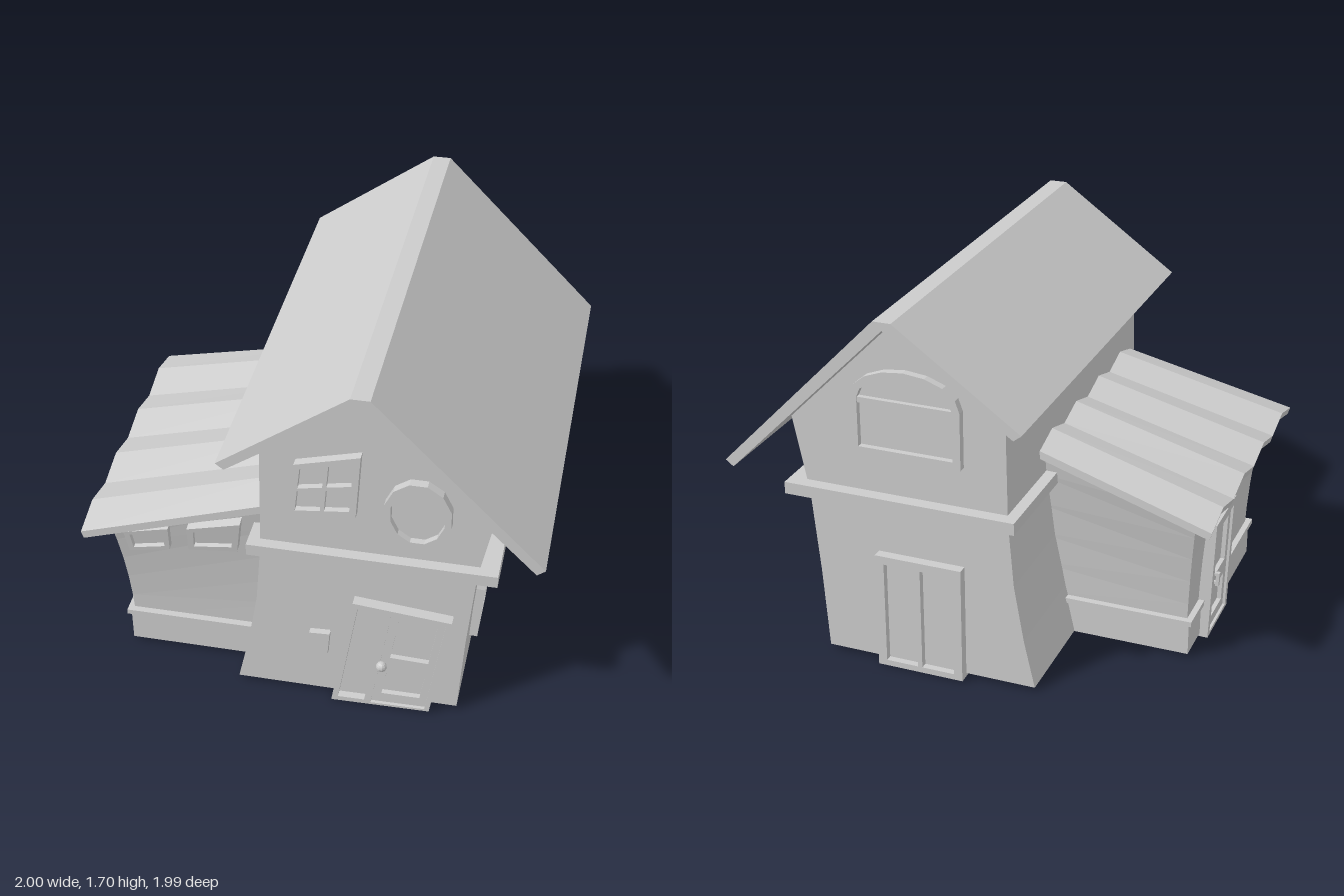
import * as THREE from 'three';

const mat = new THREE.MeshStandardMaterial({ color: 0xcccccc, flatShading: true });

function add(parent, name, geo) {
  const m = new THREE.Mesh(geo, mat);
  m.name = name;
  parent.add(m);
  return m;
}

function block(parent, name, x0, x1, y0, y1, z0, z1) {
  const m = add(parent, name, new THREE.BoxGeometry(x1 - x0, y1 - y0, z1 - z0));
  m.position.set((x0 + x1) / 2, (y0 + y1) / 2, (z0 + z1) / 2);
  return m;
}

// Flat outline with optional holes, extruded from z0 to z1
function slab(parent, name, pts, z0, z1, holes = []) {
  const v = (list) => list.map((p) => new THREE.Vector2(p[0], p[1]));
  const shape = new THREE.Shape(v(pts));
  holes.forEach((h) => shape.holes.push(new THREE.Path(v(h))));
  const geo = new THREE.ExtrudeGeometry(shape, { depth: z1 - z0, bevelEnabled: false });
  geo.translate(0, 0, z0);
  return add(parent, name, geo);
}

// Part of a slanted quad (bottom left, bottom right, top right, top left)
function sub(q, u0, u1, v0, v1) {
  const at = (u, v) => [0, 1].map((i) =>
    (q[0][i] * (1 - u) + q[1][i] * u) * (1 - v) + (q[3][i] * (1 - u) + q[2][i] * u) * v);
  return [at(u0, v0), at(u1, v0), at(u1, v1), at(u0, v1)];
}

const rect = (x0, x1, y0, y1) => [[x0, y0], [x1, y0], [x1, y1], [x0, y1]];

// Group standing on a wall: its local +z points out of the wall
function onWall(parent, name, x, y, z, turn = 0, tilt = 0) {
  const g = new THREE.Group();
  g.name = name;
  g.rotation.order = 'YXZ';
  g.rotation.set(tilt, turn, 0);
  g.position.set(x, y, z);
  parent.add(g);
  return g;
}

// Slanted frame with panes given as [u0, u1, v0, v1]
function quadWindow(parent, name, q, panes, depth) {
  slab(parent, name + 'Frame', q, -0.03, depth, panes.map((p) => sub(q, ...p)));
  slab(parent, name + 'Glass', sub(q, 0.03, 0.97, 0.03, 0.97), -0.03, depth * 0.3);
}

// Arched outline, bottom at y = 0
function arch(w, spring, rise, inset) {
  const a = w / 2 - inset;
  const pts = [[-a, inset], [a, inset]];
  for (let i = 0; i <= 8; i++) {
    const t = (i / 8) * Math.PI;
    pts.push([Math.cos(t) * a, spring + Math.sin(t) * (rise - inset)]);
  }
  return pts;
}

function archWindow(parent, w, spring, rise) {
  slab(parent, 'archFrame', arch(w, spring, rise, 0), -0.03, 0.035, [arch(w, spring, rise, 0.035)]);
  slab(parent, 'archGlass', arch(w, spring, rise, 0.02), -0.03, 0.008);
  slab(parent, 'archCrossbar', rect(-w / 2 + 0.02, w / 2 - 0.02, spring - 0.025, spring), -0.02, 0.03);
}

function oval(cx, cy, rx, ry, n = 12) {
  return Array.from({ length: n }, (_, i) => {
    const t = ((i + 0.5) / n) * Math.PI * 2;
    return [cx + Math.cos(t) * rx, cy + Math.sin(t) * ry];
  });
}

// Box whose vertices are moved by a rule
function warped(parent, name, segs, rule) {
  const geo = new THREE.BoxGeometry(1, 1, 1, ...segs).toNonIndexed();
  const p = geo.attributes.position;
  for (let i = 0; i < p.count; i++) {
    p.setXYZ(i, ...rule(p.getX(i) + 0.5, p.getY(i) + 0.5, p.getZ(i) + 0.5));
  }
  geo.computeVertexNormals();
  return add(parent, name, geo);
}

export function createModel() {
  const house = new THREE.Group();
  house.name = 'house';
  const mix = THREE.MathUtils.lerp;

  // Main house with bent side walls, belt and gable roof
  slab(house, 'mainWalls', [[-0.33, 0.02], [0.65, 0.02], [0.675, 0.4], [0.71, 0.78], [0.78, 1.13],
    [0.24, 1.67], [-0.2, 1.36], [-0.21, 0.8], [-0.235, 0.5], [-0.28, 0.24]], -0.79, 0.87);
  block(house, 'belt', -0.26, 0.8, 0.78, 0.835, -0.85, 0.92);
  slab(house, 'mainRoof', [[-0.35, 1.31], [-0.315, 1.283], [0.24, 1.667], [0.96, 0.945],
    [0.995, 0.972], [0.28, 1.702], [0.2, 1.702]], -0.99, 1);

  // Side annex: walls flare outwards towards the top
  warped(house, 'annexWalls', [1, 6, 1], (u, v, w) => {
    const f = v * v;
    const x = mix(-0.85 - 0.05 * f, -0.12, u);
    const top = 0.745 + (x + 0.9) * 0.3;
    return [x, mix(0.02, top, v), mix(-0.27 - 0.09 * f, 0.7 + 0.09 * f, w)];
  });
  block(house, 'annexSkirt', -0.865, -0.15, 0.018, 0.17, -0.29, 0.72);
  block(house, 'annexSkirtTrim', -0.88, -0.15, 0.168, 0.192, -0.305, 0.735);

  // Folded annex roof with four ridges
  warped(house, 'annexRoof', [1, 1, 8], (u, v, w) => {
    const ridge = Math.round(w * 8) % 2;
    const z = 0.198 + (w - 0.5) * mix(1.36, 1.226, u);
    return [mix(-1, -0.2, u) + (1 - v) * 0.01, mix(0.715, 0.93, u) + v * 0.034 + ridge * 0.042, z];
  });

  // Front door with sidelight
  const front = onWall(house, 'frontDoor', 0, 0, 0.87);
  const door = [[0.1, 0.003], [0.535, 0.012], [0.62, 0.545], [0.195, 0.585]];
  const sidelight = [0.06, 0.33, 0.04, 0.96];
  const leaf = [0.4, 0.95, 0.02, 0.96];
  slab(front, 'doorFrame', door, -0.03, 0.05, [sub(door, ...sidelight), sub(door, ...leaf)]);
  slab(front, 'sidelightGlass', sub(door, 0.04, 0.35, 0.03, 0.97), -0.03, 0.015);
  const leafQuad = sub(door, 0.39, 0.96, 0.015, 0.97);
  quadWindow(front, 'doorLeaf', leafQuad, [[0.17, 0.85, 0.1, 0.35], [0.17, 0.85, 0.51, 0.93]], 0.035);
  const knob = add(front, 'doorKnob', new THREE.SphereGeometry(0.024, 10, 8));
  knob.position.set(0.325, 0.258, 0.065);
  slab(house, 'letterBox', [[-0.018, 0.252], [0.08, 0.25], [0.09, 0.37], [0, 0.365]], 0.85, 0.9);

  // Upper front windows
  const upper = onWall(house, 'upperWindows', 0, 0, 0.87);
  const panes = [];
  for (const u of [[0.1, 0.47], [0.53, 0.9]]) {
    for (const v of [[0.1, 0.47], [0.53, 0.9]]) panes.push([...u, ...v]);
  }
  quadWindow(upper, 'crossWindow', [[-0.08, 1.015], [0.205, 1.045], [0.225, 1.355], [-0.05, 1.28]], panes, 0.04);
  slab(upper, 'roundFrame', oval(0.46, 1.087, 0.143, 0.168), -0.03, 0.04, [oval(0.46, 1.087, 0.115, 0.138)]);
  slab(upper, 'roundGlass', oval(0.46, 1.087, 0.12, 0.143), -0.03, 0.01);

  // Annex front windows
  const annexFront = onWall(house, 'annexWindows', 0, 0.7, 0.765, 0, 0.18);
  for (const q of [
    [[-0.825, -0.11], [-0.64, -0.065], [-0.635, 0.07], [-0.84, 0.01]],
    [[-0.555, -0.05], [-0.335, -0.02], [-0.31, 0.16], [-0.55, 0.085]],
  ]) quadWindow(annexFront, 'annexWindow', q, [[0.12, 0.88, 0.16, 0.84]], 0.03);

  // Arched windows: two on the right wall, one high at the back
  archWindow(onWall(house, 'smallArchWindow', 0.665, 0.235, 0.507, Math.PI / 2, 0.09), 0.265, 0.275, 0.125);
  archWindow(onWall(house, 'largeArchWindow', 0.665, 0.235, -0.218, Math.PI / 2, 0.09), 0.58, 0.275, 0.13);
  archWindow(onWall(house, 'backArchWindow', 0.235, 1.02, -0.79, Math.PI), 0.5, 0.26, 0.14);

  // Back double door
  const back = onWall(house, 'backDoor', 0.19, 0, -0.79, Math.PI);
  quadWindow(back, 'doubleDoor', rect(-0.2, 0.2, 0.004, 0.55),
    [[0.1, 0.475, 0.05, 0.93], [0.525, 0.9, 0.05, 0.93]], 0.045);

  // Annex side door
  const side = onWall(house, 'sideDoor', -0.862, 0, 0.06, -Math.PI / 2, 0.035);
  const sideQuad = rect(-0.16, 0.16, 0.002, 0.58);
  slab(side, 'sideDoorFrame', sideQuad, -0.04, 0.04, [sub(sideQuad, 0.1, 0.9, 0.03, 0.94)]);
  quadWindow(side, 'sideDoorLeaf', sub(sideQuad, 0.08, 0.92, 0.02, 0.95),
    [[0.17, 0.83, 0.1, 0.36], [0.17, 0.83, 0.5, 0.92]], 0.028);
  block(side, 'sideDoorHandle', -0.12, -0.1, 0.255, 0.32, 0.045, 0.06);
  for (const y of [0.262, 0.305]) block(side, 'handleMount', -0.117, -0.103, y, y + 0.012, 0.02, 0.05);

  return house;
}
